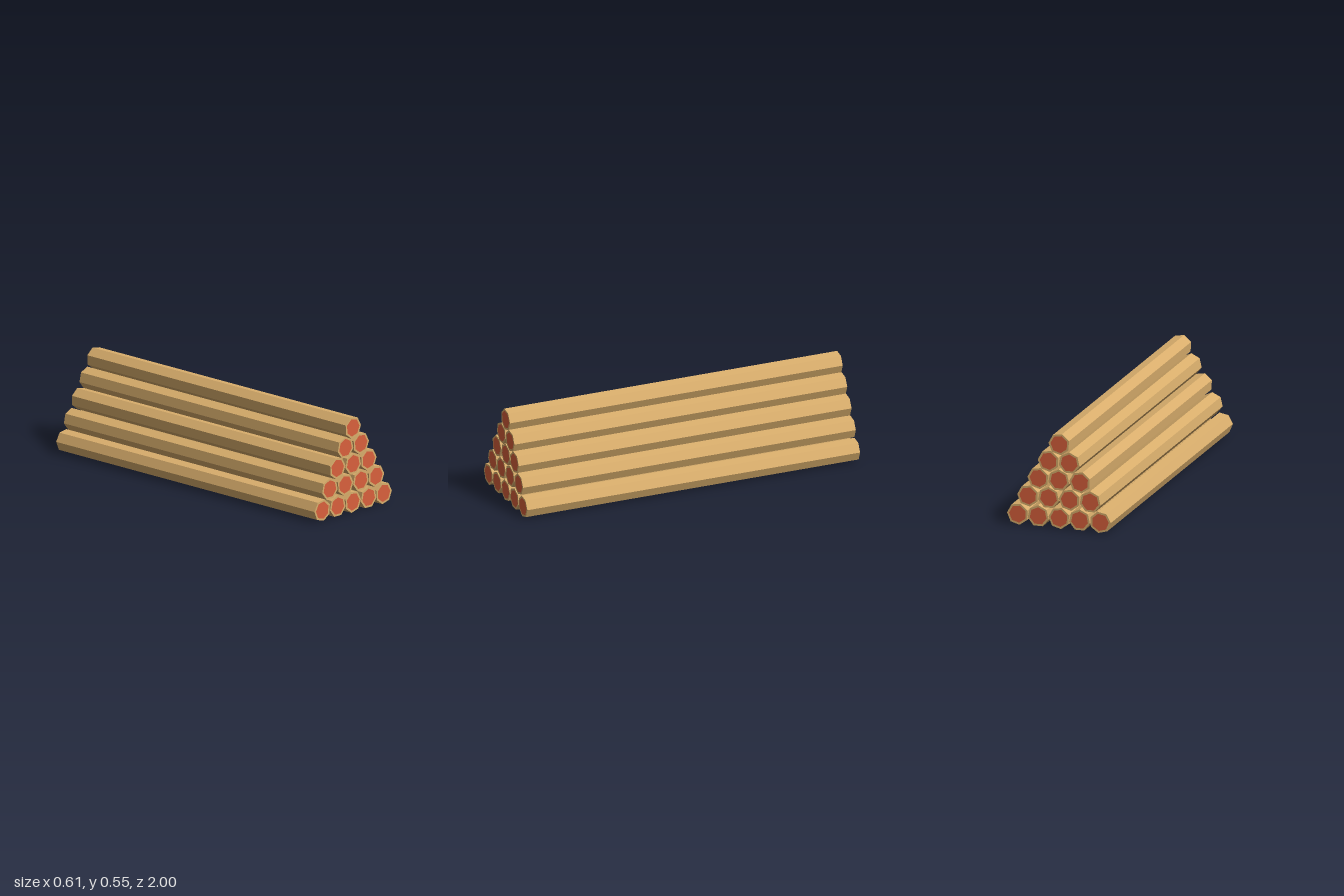
import * as THREE from 'three';

const SIDES = 7, RADIUS = 0.0627, CORE = 0.0505, LENGTH = 2;

// Roll of each log about its length
const A = THREE.MathUtils.degToRad(3);
const B = Math.PI / 2;
const C = Math.PI - A;

// Rows from the ground up: height and [x, roll] of each log
const ROWS = [
  [0.063, [[-0.243, C], [-0.122, B], [-0.002, A], [0.121, B], [0.241, A]]],
  [0.174, [[-0.184, B], [-0.062, A], [0.06, B], [0.181, A]]],
  [0.281, [[-0.124, A], [0, B], [0.121, A]]],
  [0.386, [[-0.061, B], [0.061, A]]],
  [0.489, [[-0.002, A]]],
];

export function createModel() {
  const model = new THREE.Group();
  model.name = 'logPile';

  const wood = new THREE.MeshStandardMaterial({ color: 0xd9ae6c, flatShading: true });
  const red = new THREE.MeshStandardMaterial({ color: 0xd9603c, flatShading: true });

  // Shared parts, each with a corner on +x
  const barkGeo = new THREE.CylinderGeometry(RADIUS, RADIUS, LENGTH, SIDES, 1, true, Math.PI / 2);
  barkGeo.rotateX(Math.PI / 2);
  const rimGeo = new THREE.RingGeometry(CORE, RADIUS, SIDES);
  const coreGeo = new THREE.CircleGeometry(CORE, SIDES);

  const add = (parent, name, geometry, material) => {
    const mesh = new THREE.Mesh(geometry, material);
    mesh.name = name;
    parent.add(mesh);
    return mesh;
  };

  function makeLog() {
    const log = new THREE.Group();
    log.name = 'log';
    add(log, 'bark', barkGeo, wood);
    // Cut ends: wooden rim around a red core
    for (const side of [1, -1]) {
      const end = new THREE.Group();
      end.name = side > 0 ? 'frontEnd' : 'backEnd';
      add(end, 'rim', rimGeo, wood);
      add(end, 'core', coreGeo, red);
      end.position.z = side * LENGTH / 2;
      if (side < 0) end.rotation.x = Math.PI;
      log.add(end);
    }
    return log;
  }

  // Stack the logs in a pyramid
  for (const [y, logs] of ROWS) {
    for (const [x, roll] of logs) {
      const log = makeLog();
      log.position.set(x, y, 0);
      log.rotation.z = roll;
      model.add(log);
    }
  }
  return model;
}
